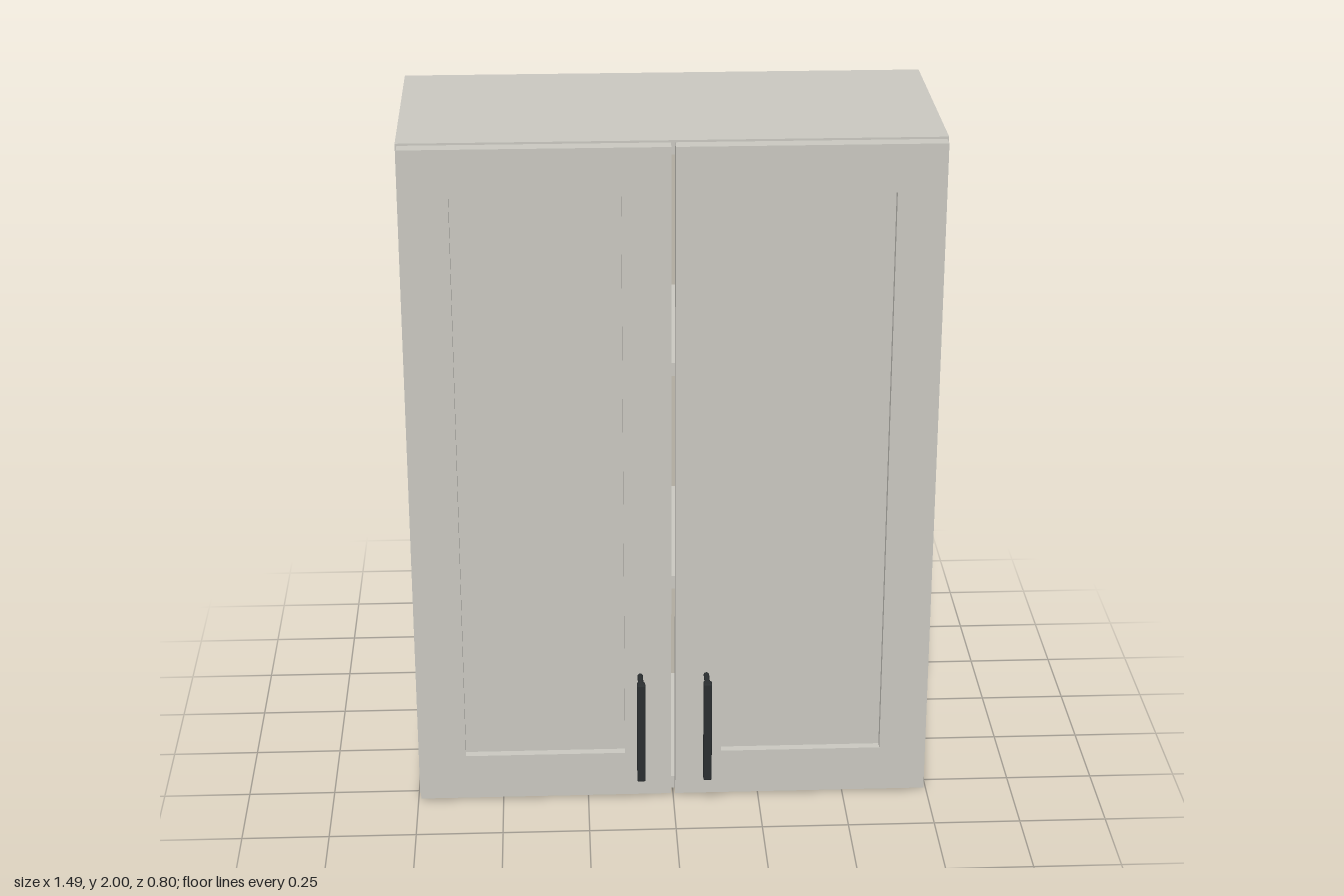
import * as THREE from 'three';
import { RoundedBoxGeometry } from 'three/addons/geometries/RoundedBoxGeometry.js';

const paint = new THREE.MeshStandardMaterial({ color: 0xc9c7c0 });
const backing = new THREE.MeshStandardMaterial({ color: 0xc3bdb0 });
const metal = new THREE.MeshStandardMaterial({ color: 0x2a2e30 });

// Board given by its extents along each axis
function board(parent, name, [x0, x1], [y0, y1], [z0, z1], material = paint) {
  const mesh = new THREE.Mesh(new THREE.BoxGeometry(x1 - x0, y1 - y0, z1 - z0), material);
  mesh.position.set((x0 + x1) / 2, (y0 + y1) / 2, (z0 + z1) / 2);
  mesh.name = name;
  parent.add(mesh);
}

// Carcass: sides, top, bottom, back and two inner shelves
function makeCarcass() {
  const carcass = new THREE.Group();
  carcass.name = 'carcass';
  const W = 0.747, t = 0.04, inner = W - t, depth = [-0.4, 0.265];
  board(carcass, 'leftSide', [inner, W], [0, 2], depth);
  board(carcass, 'rightSide', [-W, -inner], [0, 2], depth);
  board(carcass, 'top', [-inner, inner], [2 - t, 2], depth);
  board(carcass, 'bottom', [-inner, inner], [0, t], depth);
  board(carcass, 'backPanel', [-inner, inner], [t, 2 - t], [-0.4, -0.385], backing);
  for (const y of [0.67, 1.33]) {
    board(carcass, 'shelf', [-inner, inner], [y - t / 2, y + t / 2], [-0.385, 0.25]);
  }
  return carcass;
}

// Door: two full-height stiles, two rails and a recessed panel
function makeDoor(name, side) {
  const door = new THREE.Group();
  door.name = name;
  const span = (a, b) => (side > 0 ? [a, b] : [-b, -a]);
  const z = [0.268, 0.31], y0 = 0.008, y1 = 1.995;
  board(door, 'innerStile', span(0.006, 0.141), [y0, y1], z);
  board(door, 'outerStile', span(0.607, 0.742), [y0, y1], z);
  board(door, 'bottomRail', span(0.141, 0.607), [y0, 0.147], z);
  board(door, 'topRail', span(0.141, 0.607), [1.858, y1], z);
  board(door, 'panel', span(0.141, 0.607), [0.147, 1.858], [0.27, 0.285]);
  door.add(makeHandle(side * 0.096));
  return door;
}

// Bar pull on two round posts
function makeHandle(x) {
  const handle = new THREE.Group();
  handle.name = 'handle';
  const bar = new THREE.Mesh(new RoundedBoxGeometry(0.024, 0.315, 0.026, 2, 0.004), metal);
  bar.name = 'handleBar';
  bar.position.set(x, 0.2575, 0.387);
  handle.add(bar);
  for (const y of [0.118, 0.4]) {
    const post = new THREE.Mesh(new THREE.CylinderGeometry(0.008, 0.008, 0.07, 20), metal);
    post.name = 'handlePost';
    post.rotation.x = Math.PI / 2;
    post.position.set(x, y, 0.343);
    handle.add(post);
  }
  return handle;
}

export function createModel() {
  const cabinet = new THREE.Group();
  cabinet.name = 'wallCabinet';
  cabinet.add(makeCarcass(), makeDoor('leftDoor', 1), makeDoor('rightDoor', -1));
  return cabinet;
}
